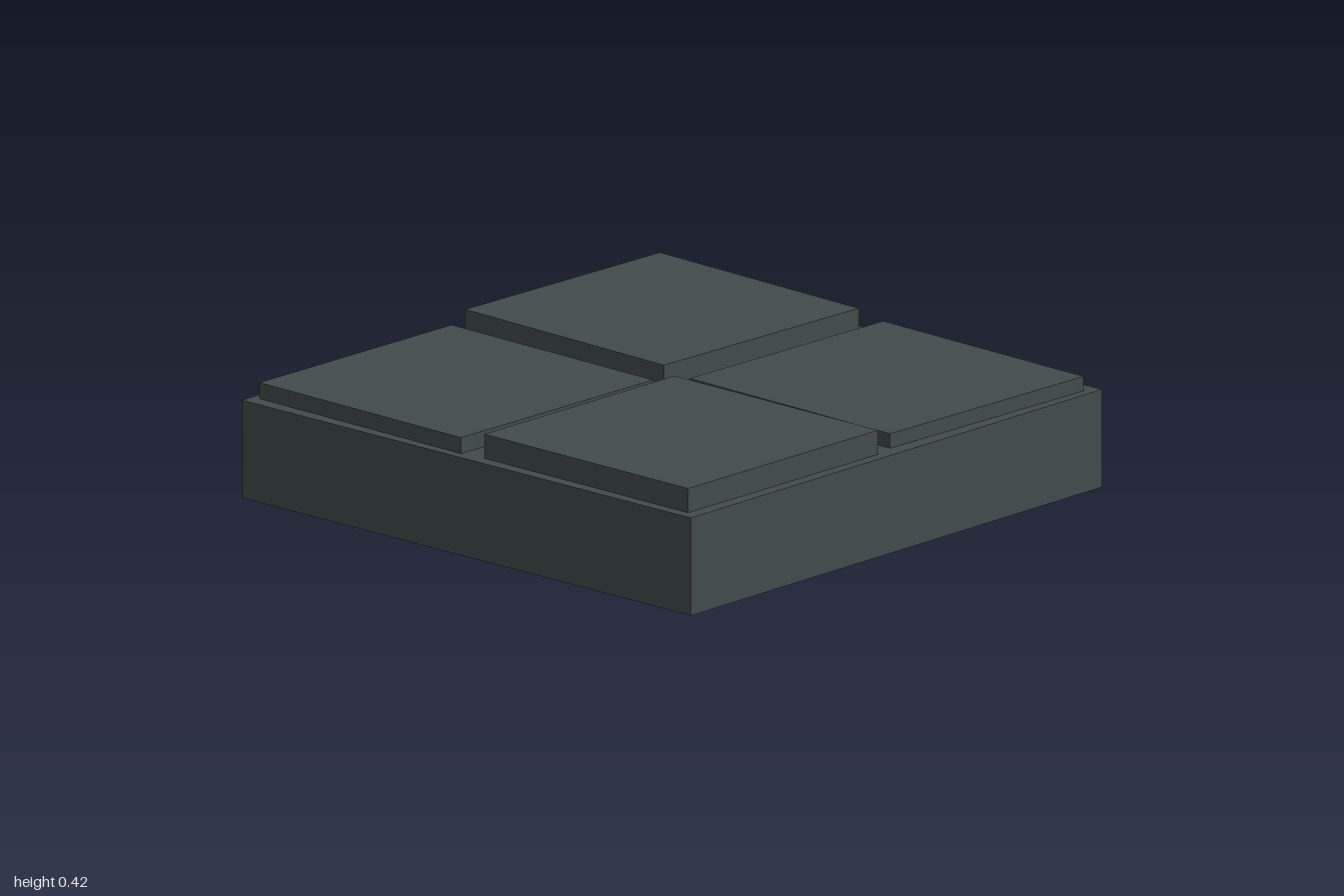
import * as THREE from 'three';

export function createModel() {
  const model = new THREE.Group();
  const stone = new THREE.MeshStandardMaterial({ color: 0x414b4b });
  stone.name = 'dark slate stone';

  // Box standing on a given bottom height
  function slab(name, size, bottom, top, x = 0, z = 0, turn = 0) {
    const mesh = new THREE.Mesh(new THREE.BoxGeometry(size, top - bottom, size), stone);
    mesh.name = name;
    mesh.position.set(x, (bottom + top) / 2, z);
    mesh.rotation.y = turn;
    model.add(mesh);
  }

  const baseTop = 0.335;
  slab('base', 2, 0, baseTop);

  // Four paving slabs, each slightly turned and of its own height
  const pavers = [
    ['frontLeftPaver', 0.5, 0.498, 0.385, -0.026],
    ['frontRightPaver', -0.501, 0.5, 0.418, -0.009],
    ['backLeftPaver', 0.5, -0.503, 0.418, -0.034],
    ['backRightPaver', -0.5, -0.503, 0.39, -0.02],
  ];
  for (const [name, x, z, top, turn] of pavers) {
    slab(name, 0.915, baseTop - 0.01, top, x, z, turn);
  }
  return model;
}
